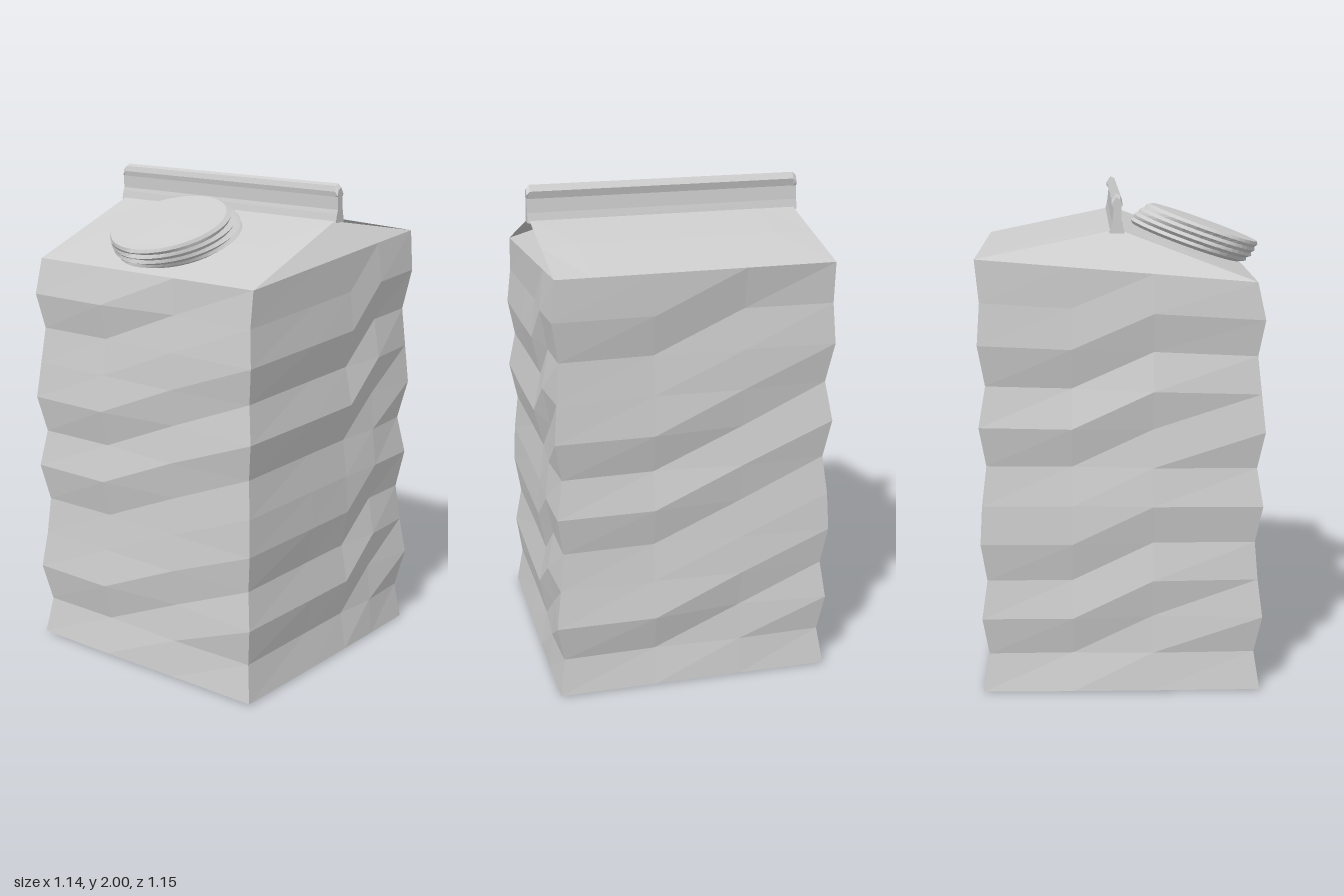
import * as THREE from 'three';

// Flat-shaded mesh from corner points and triangle indices
function facets(name, points, indices, material) {
  const g = new THREE.BufferGeometry();
  g.setAttribute('position', new THREE.Float32BufferAttribute(points.flat(), 3));
  g.setIndex(indices);
  const flat = g.toNonIndexed();
  flat.computeVertexNormals();
  const mesh = new THREE.Mesh(flat, material);
  mesh.name = name;
  return mesh;
}

// Stacked rings joined by quads, with fans closing the chosen ends
function loft(name, rings, bottom, top, material) {
  const n = rings[0].length, pts = rings.flat(), idx = [];
  for (let k = 0; k < rings.length - 1; k++) {
    for (let i = 0; i < n; i++) {
      const j = (i + 1) % n;
      const a = k * n + i, b = k * n + j, c = b + n, d = a + n;
      idx.push(a, b, c, a, c, d);
    }
  }
  const last = (rings.length - 1) * n;
  for (let i = 0; i < n; i++) {
    const j = (i + 1) % n;
    if (bottom) idx.push(pts.length, j, i);
    if (top) idx.push(pts.length + (bottom ? 1 : 0), last + i, last + j);
  }
  if (bottom) pts.push(bottom);
  if (top) pts.push(top);
  return facets(name, pts, idx, material);
}

export function createModel() {
  const group = new THREE.Group();
  const card = new THREE.MeshStandardMaterial({ color: 0xcccccc });
  card.flatShading = true;
  card.side = THREE.DoubleSide;

  const eaveY = z => 1.705 - 0.083 * z;
  const wobble = n => Math.sin(n * 12.9898) * 0.006;
  const frontEave = 0.517, backEave = -0.567;

  // Crumple patterns up the height: 1 bulges out, -1 dents in
  const folds = [
    [0.9, -0.7, 1.4, 0, -1, 0.8, -1, 1, 0, -1, 0.8, 0],
    [0.9, 0, -0.8, 0.7, 0, -0.8, 0.6, -0.7, 0.6, 0.3, -0.8, 0],
    [0.9, -0.8, 0.8, -0.8, 0.8, 0.3, -0.9, 1, -0.9, 0.9, 0, 0],
    [0.9, 0, -0.7, 0.7, -0.7, 0.9, 0, -0.8, 0.8, -0.8, 0.8, 0],
  ];
  // Crumpled body: columns as x, z, outward x, outward z, fold pattern
  const columns = [
    [-0.555, 0.54, -0.8, 0.8, 0], [-0.2, 0.54, 0, 1, 0], [0.16, 0.535, 0, 1, 1],
    [0.545, 0.535, 0.8, 0.8, 2], [0.545, 0.13, 1, 0, 2], [0.545, -0.12, 1, 0, 2],
    [0.545, -0.32, 1, 0, 3], [0.545, -0.55, 0.8, -0.8, 0], [0.16, -0.545, 0, -1, 0],
    [-0.2, -0.545, 0, -1, 1], [-0.555, -0.55, -0.8, -0.8, 2], [-0.555, -0.2, -1, 0, 2],
    [-0.555, 0.12, -1, 0, 3],
  ];
  const rows = 11, rings = [];
  for (let k = 0; k <= rows; k++) {
    const t = k / rows;
    rings.push(columns.map(([x, z, nx, nz, pattern], i) => {
      const push = folds[pattern][k] * 0.018 + (k % rows ? wobble(k * 13 + i) * 0.5 : 0);
      const edge = nz > 0 ? frontEave : nz < 0 ? backEave : z;
      const depth = k === rows ? edge : z + nz * push;
      const y = 0.006 + t * 1.699 + (eaveY(depth) - 1.705) * t ** 3;
      return [x + nx * push, y, depth];
    }));
  }
  group.add(loft('cartonBody', rings, [0, 0, 0], null, card));

  // Two sloping roof panels, each bowed a little across its middle
  const ridge = 1.865, ridgeZ = -0.02;
  for (const [name, z, s] of [['frontRoof', frontEave, 1], ['backRoof', backEave, -1]]) {
    const pts = [], idx = [];
    for (let r = 0; r < 3; r++) {
      for (let c = 0; c < 4; c++) {
        const y = THREE.MathUtils.lerp(eaveY(z), ridge, r / 2);
        const bow = r === 1 && c % 3 ? 0.006 : 0;
        pts.push([[-0.555, -0.4, 0.4, 0.545][c], y + bow, THREE.MathUtils.lerp(z, ridgeZ, r / 2)]);
        if (r < 2 && c < 3) {
          const a = r * 4 + c;
          if (s > 0) idx.push(a, a + 1, a + 5, a, a + 5, a + 4);
          else idx.push(a, a + 5, a + 1, a, a + 4, a + 5);
        }
      }
    }
    group.add(facets(name, pts, idx, card));
  }

  // Gable ends tucked inward beneath the roof
  for (const s of [1, -1]) {
    const x = s > 0 ? 0.545 : 0.555;
    const pts = [
      [s * x, eaveY(frontEave), frontEave], [s * x, eaveY(backEave), backEave], [s * 0.41, ridge - 0.012, ridgeZ],
    ];
    group.add(facets(s > 0 ? 'leftGable' : 'rightGable', pts, s > 0 ? [0, 1, 2] : [1, 0, 2], card));
  }

  // Pinched fin along the ridge, wider at foot and lip, rounded off at its upper ends
  const fin = [
    [0.005, 1.85], [-0.003, 1.885], [-0.008, 1.9], [-0.008, 1.95], [-0.004, 1.97], [-0.01, 1.992],
    [-0.028, 2], [-0.044, 1.975], [-0.036, 1.945], [-0.042, 1.89], [-0.052, 1.85],
  ];
  const finRings = [[-0.57, 0.015], [-0.555, 0], [0.54, 0], [0.553, 0.015]].map(([x, drop]) =>
    fin.map(([z, y]) => [x, y - (y > 1.96 ? drop : 0), z]));
  group.add(loft('ridgeFin', finRings, [-0.57, 1.92, -0.022], [0.553, 1.92, -0.022], card));

  // Screw cap: ridged rings leaning forward on the front roof
  const tilt = 0.34, sides = 40;
  const radii = [0.235, 0.255, 0.248, 0.26, 0.248, 0.255, 0.242, 0.246, 0.234, 0.21];
  const capRings = radii.map((r, k) => {
    const t = Math.min(k / 8, 1);
    const cz = 0.275 + 0.075 * t, cy = 1.762 + 0.081 * t;
    return Array.from({ length: sides }, (_, i) => {
      const a = (i / sides) * Math.PI * 2;
      const rr = r + (k < 8 ? wobble(k * 7 + i) * 0.5 : 0);
      const d = rr * Math.cos(a);
      return [rr * Math.sin(a) - 0.008, cy - d * Math.sin(tilt), cz + d * Math.cos(tilt)];
    });
  });
  group.add(loft('screwCap', capRings, [-0.008, 1.762, 0.275], [-0.008, 1.847, 0.352], card));

  return group;
}
